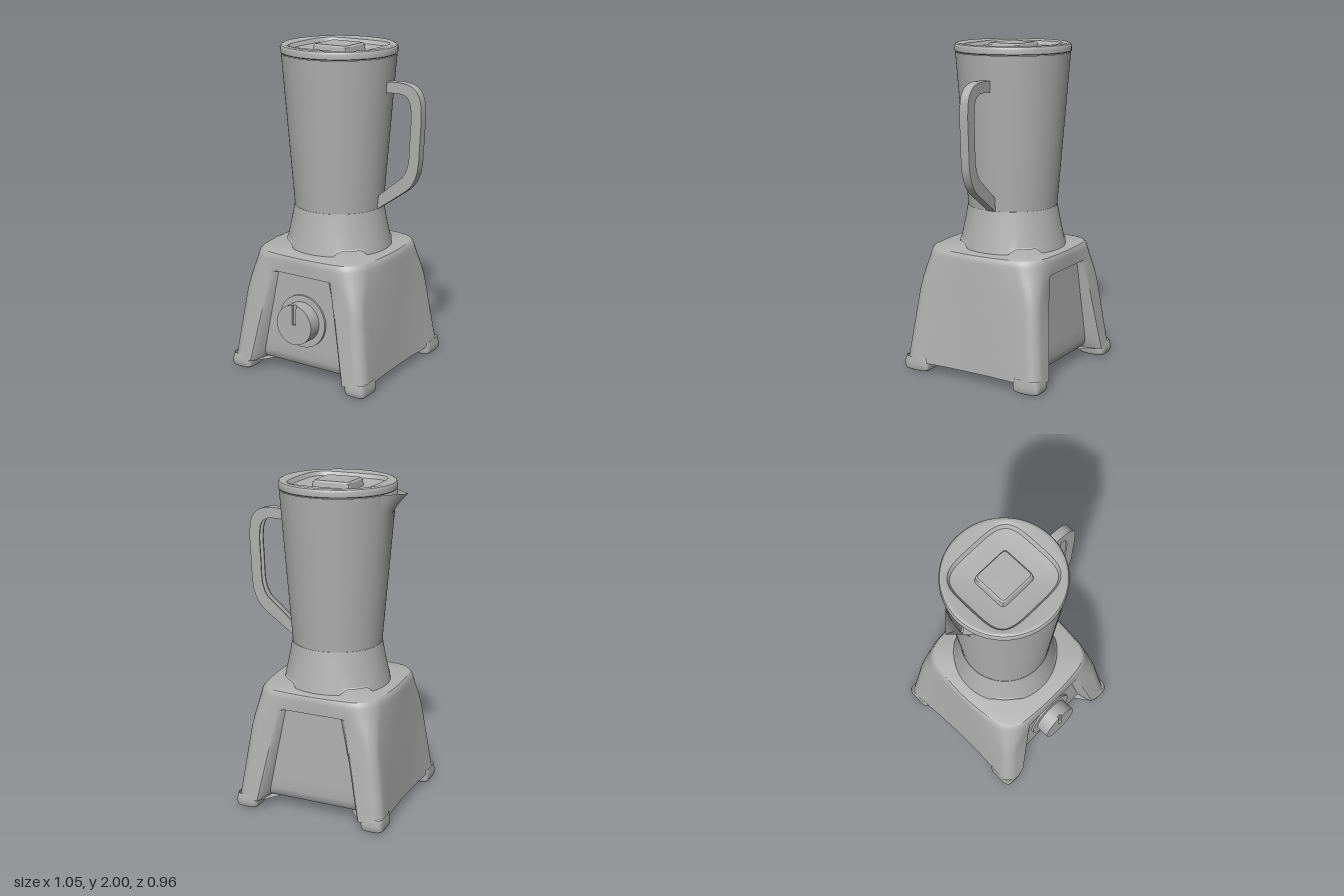
import * as THREE from 'three';
import { toCreasedNormals } from 'three/addons/utils/BufferGeometryUtils.js';

const SEG = 96;
const CX = -0.045; // axis of base and jar
const JZ = -0.02; // jar sits slightly behind the base centre

// Closed rings of [x, y, z], running from +x towards +z, joined bottom to top
function loft(rings, crease = 0.5) {
  const n = rings[0].length, index = [];
  for (let r = 0; r < rings.length - 1; r++) {
    for (let i = 0; i < n; i++) {
      const a = r * n + i, b = r * n + (i + 1) % n;
      index.push(a, a + n, b, b, a + n, b + n);
    }
  }
  const g = new THREE.BufferGeometry();
  g.setAttribute('position', new THREE.Float32BufferAttribute(rings.flat(2), 3));
  g.setIndex(index);
  return toCreasedNormals(g, crease);
}

// Superellipse ring: p = 2 is round, a larger p is squarer
function ring(y, rx, rz = rx, p = 2, cx = 0, cz = 0) {
  return Array.from({ length: SEG }, (_, i) => {
    const t = i / SEG * Math.PI * 2, c = Math.cos(t), s = Math.sin(t);
    const k = (Math.abs(c) ** p + Math.abs(s) ** p) ** (-1 / p);
    return [cx + rx * k * c, y, cz + rz * k * s];
  });
}

const flare = (y) => (0.73 - y) / 0.72;

// Base section: rounded square with recesses of depth d in front and back
function baseRing(y, d, shrink = 0) {
  const f = flare(y);
  const a = 0.385 + 0.1 * f - shrink, b = 0.395 + 0.085 * f - shrink * 0.6;
  const r = THREE.MathUtils.lerp(0.07, 0.15, THREE.MathUtils.smoothstep(y, 0.5, 0.77));
  const w = 0.205 + 0.12 * (0.66 - Math.min(y, 0.66)) / 0.6;
  const bow = THREE.MathUtils.lerp(-0.022, 0.02, y / 0.77);
  const q = [];
  for (let i = 0; i <= 5; i++) {
    const u = i / 6;
    q.push([a + bow * (1 - u * u), u * (b - r)]);
  }
  for (let i = 0; i <= 8; i++) {
    const t = i / 8 * Math.PI / 2;
    q.push([a - r + r * Math.cos(t), b - r + r * Math.sin(t)]);
  }
  const top = 0.012 * THREE.MathUtils.smoothstep(y, 0.64, 0.77);
  const front = (x) => b + top * (1 - (x / (a - r)) ** 2);
  q.push([w + 0.012, front(w + 0.012)], [w, front(w) - d * 0.15], [w - 0.025, front(w - 0.025) - d]);
  for (const u of [0.8, 0.6, 0.4, 0.2, 0]) q.push([w * u * 0.9, front(w * u * 0.9) - d]);
  const half = [...q, ...q.slice(0, -1).reverse().map(([x, z]) => [-x, z])];
  const back = half.slice(1, -1).reverse().map(([x, z]) => [x, -z]);
  return [...half, ...back].map(([x, z]) => [x, y, z]);
}

function baseGeometry() {
  const depth = (y) => 0.03 + 0.06 * (0.66 - y) / 0.6;
  const rings = [];
  const low = baseRing(0.06, depth(0.06) + 0.05);
  rings.push(low.map(() => [0, 0.06, 0]), low);
  rings.push(baseRing(0.075, depth(0.075) + 0.022), baseRing(0.1, depth(0.1) + 0.006));
  for (const y of [0.13, 0.2, 0.3, 0.4, 0.5, 0.58, 0.63, 0.65]) rings.push(baseRing(y, depth(y)));
  rings.push(baseRing(0.66, 0), baseRing(0.7, 0), baseRing(0.73, 0));
  rings.push(baseRing(0.752, 0, 0.003), baseRing(0.765, 0, 0.012), baseRing(0.77, 0, 0.028));
  rings.push(low.map(() => [0, 0.77, 0]));
  return loft(rings);
}

// Tapered jar with a pouring lip pulled out of the rim
function jarGeometry() {
  const rings = [];
  for (const y of [1.02, 1.4, 1.78, 1.82, 1.85, 1.88, 1.91, 1.93, 1.945]) {
    const r = 0.273 + 0.073 * (y - 1.02) / 0.925;
    const lift = Math.max(0, (y - 1.79) / 0.155) ** 1.5;
    rings.push(ring(y, r).map(([x, h, z]) => {
      const off = Math.abs(Math.atan2(z, -x));
      const k = 1 + 0.092 * lift * Math.max(0, 1 - off / 0.36) ** 1.5 / r;
      return [x * k, h, z * k];
    }));
  }
  return loft(rings, 0.7);
}

// Flared collar with four notches in its lower edge
function collarGeometry() {
  const notch = ring(0.77, 0.325).map(([x, y, z]) => {
    const c = -Math.cos(4 * Math.atan2(z, x));
    return [x, y + 0.032 * THREE.MathUtils.smoothstep(c, 0.2, 0.75), z];
  });
  return loft([notch, ring(0.81, 0.317), ring(0.92, 0.293), ring(1.02, 0.275), ring(1.02, 0.26)]);
}

function lidGeometry() {
  return loft([
    ring(1.947, 0), ring(1.947, 0.344), ring(1.953, 0.35), ring(1.983, 0.35), ring(1.994, 0.344),
    ring(1.999, 0.333), ring(1.999, 0.325),
    ring(1.992, 0.262, 0.25, 4), ring(1.968, 0.246, 0.235, 4.5), ring(1.958, 0.2, 0.19, 4),
    ring(1.952, 0.125, 0.116, 10), ring(1.99, 0.118, 0.11, 14), ring(2, 0.108, 0.102, 16), ring(2, 0),
  ]);
}

// Handle outline: matching outer and inner points from top to bottom
const OUTER = [[0.29, 1.8], [0.4, 1.8], [0.465, 1.78], [0.507, 1.73], [0.522, 1.64], [0.517, 1.48],
  [0.508, 1.32], [0.495, 1.26], [0.455, 1.185], [0.36, 1.11], [0.232, 1.02]];
const INNER = [[0.29, 1.735], [0.39, 1.735], [0.425, 1.72], [0.445, 1.69], [0.455, 1.62], [0.45, 1.48],
  [0.443, 1.34], [0.435, 1.305], [0.41, 1.25], [0.335, 1.185], [0.24, 1.105]];

function handlePiece(t, z0, depth) {
  const smooth = (pts) => new THREE.CatmullRomCurve3(
    pts.map(([x, y]) => new THREE.Vector3(x, y, 0)), false, 'centripetal').getPoints(40);
  const o = smooth(OUTER), n = smooth(INNER);
  const edge = o.map((p, i) => p.clone().lerp(n[i], t));
  const shape = new THREE.Shape([...o, ...edge.reverse()].map((p) => new THREE.Vector2(p.x, p.y)));
  const g = new THREE.ExtrudeGeometry(shape, { depth, bevelEnabled: false });
  g.translate(0, 0, z0);
  return toCreasedNormals(g, 0.5);
}

export function createModel() {
  const model = new THREE.Group();
  model.name = 'blender';
  const grey = new THREE.MeshStandardMaterial({ color: 0xb0b0b0, side: THREE.DoubleSide });
  grey.name = 'grey plastic';
  const add = (name, geometry, x = 0, y = 0, z = 0, parent = model) => {
    const m = new THREE.Mesh(geometry, grey);
    m.name = name;
    m.position.set(x, y, z);
    parent.add(m);
    return m;
  };

  // Base with four feet and a bottom plate
  add('base', baseGeometry(), CX);
  for (const sx of [-1, 1]) {
    for (const sz of [-1, 1]) {
      const x = sx * 0.414, z = sz * 0.39;
      add('foot', loft([
        ring(0.004, 0, 0, 2, x, z), ring(0.004, 0.058, 0.072, 4, x, z), ring(0.01, 0.066, 0.082, 4.5, x, z),
        ring(0.02, 0.07, 0.087, 5, x, z), ring(0.05, 0.07, 0.09, 5, x, z), ring(0.09, 0.064, 0.08, 5, x, z),
      ]), CX);
    }
  }
  add('bottomPlate', new THREE.CylinderGeometry(0.285, 0.28, 0.045, 64), CX, 0.0525, 0);

  // Control dial, tilted with the front panel
  const dial = new THREE.Group();
  dial.name = 'dial';
  dial.position.set(CX, 0.37, 0.375);
  dial.rotation.x = -0.04;
  model.add(dial);
  const disc = (r, d) => new THREE.CylinderGeometry(r, r, d, 64).rotateX(Math.PI / 2);
  add('dialRing', disc(0.163, 0.03), 0, 0, 0.003, dial);
  // Knob with a pointer groove cut into its face
  const face = new THREE.Shape();
  const a0 = Math.PI / 2 + 0.105;
  face.absarc(0, 0, 0.123, a0, a0 + Math.PI * 2 - 0.21, false);
  face.lineTo(0.013, 0);
  face.lineTo(-0.013, 0);
  const knobFace = new THREE.ExtrudeGeometry(face, { depth: 0.015, bevelEnabled: false, curveSegments: 64 });
  add('knobFace', toCreasedNormals(knobFace, 0.5), 0, 0, 0.09, dial);
  add('knob', disc(0.123, 0.09), 0, 0, 0.045, dial);

  // Collar, jar and lid
  add('collar', collarGeometry(), CX, 0, JZ);
  add('jar', jarGeometry(), CX, 0, JZ);
  add('lid', lidGeometry(), CX, 0, JZ);

  // Handle: a channel open towards the jar
  const handle = new THREE.Group();
  handle.name = 'handle';
  model.add(handle);
  add('handleWeb', handlePiece(0.2, -0.06, 0.04), 0, 0, 0, handle);
  add('handleFlange', handlePiece(1, -0.068, 0.01), 0, 0, 0, handle);
  add('handleFlange', handlePiece(1, -0.022, 0.01), 0, 0, 0, handle);
  return model;
}
